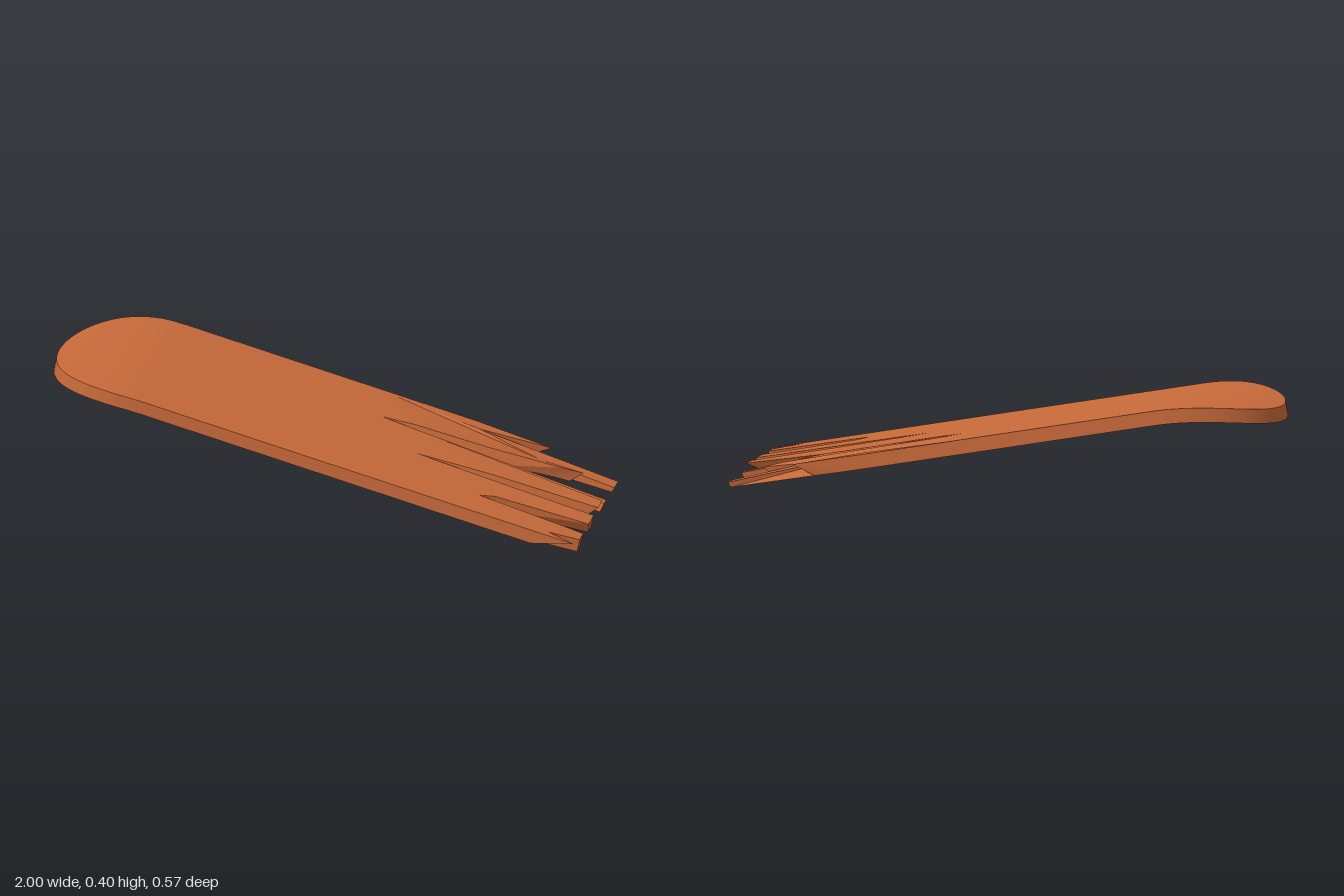
import * as THREE from 'three';
import { toCreasedNormals } from 'three/addons/utils/BufferGeometryUtils.js';

const HALF = 0.283;   // half width of the board
const THICK = 0.051;
const JOIN = 0.1;     // where the splintered end begins

// Height of the upper surface: arched nose, then a straight slope
const height = x => x < -0.6 ? 0.403 - 0.57 * (x + 0.78) ** 2 : 0.3845 - 0.205 * (x + 0.6);
const topPoint = (x, z, drop = 0) => [x, height(x) - drop, z];
const bottomPoint = (x, z) => [x - 0.01, height(x) - THICK, z];

// Broken edge: top x, top z, drop of the top, then bottom x, bottom z where they differ
const BREAK = [
  [JOIN, -HALF],
  [0.46, -HALF, 0, 0.42, -HALF],
  [0.75, -0.268, 0, 0.56, -0.28],
  [0.49, -0.238, 0, 0.68, -0.266],
  [1, -0.247, 0.033, 1, -0.242],
  [1, -0.2, 0.033, 1, -0.198],
  [0.72, -0.193, 0.012, 0.72, -0.188],
  [0.89, -0.186, 0.005, 0.85, -0.18],
  [0.82, -0.168, 0, 0.78, -0.172],
  [0.55, -0.143, 0, 0.6, -0.135],
  [0.28, -0.134, 0, 0.32, -0.126],
  [0.17, -0.116, 0, 0.21, -0.108],
  [0.28, -0.107, 0, 0.3, -0.1],
  [1, -0.097, 0.025, 1, -0.094],
  [1, -0.07, 0.025, 1, -0.052],
  [0.7, -0.078, 0.005, 0.93, -0.046],
  [1, -0.047, 0, 0.92, -0.03],
  [1, 0.006, 0, 0.96, 0.008],
  [0.62, 0.016, 0, 0.64, 0.024],
  [0.34, 0.04, 0, 0.4, 0.044],
  [0.6, 0.05, 0, 0.6, 0.062],
  [1, 0.062, 0, 1, 0.064],
  [1, 0.126, 0, 1, 0.098],
  [0.66, 0.146, 0, 0.68, 0.14],
  [0.61, 0.17, 0, 0.63, 0.17],
  [0.94, 0.19, 0, 0.92, 0.196],
  [1, 0.196, 0, 1, 0.205],
  [1, 0.241, 0, 1, 0.24],
  [0.89, 0.257, 0, 0.87, 0.257],
  [0.99, 0.28, 0, 0.84, HALF],
  [JOIN, HALF],
];

function buildBoard() {
  const pos = [];
  const tri = (a, b, c) => pos.push(...a, ...b, ...c);
  // Triangle turned to face up (sign 1) or down (sign -1)
  const facing = (a, b, c, sign) => {
    const ny = (b[2] - a[2]) * (c[0] - a[0]) - (b[0] - a[0]) * (c[2] - a[2]);
    if (ny * sign > 0) tri(a, b, c); else if (ny !== 0) tri(a, c, b);
  };

  // Stations of the intact board, from the join to the rounded nose
  const stations = [[JOIN, HALF], [-0.25, HALF], [-0.6, HALF]];
  for (let k = 0; k <= 14; k++) {
    const t = k / 14 * Math.PI / 2;
    stations.push([-0.65 - 0.34 * Math.sin(t), k === 14 ? 0 : HALF * Math.cos(t)]);
  }
  for (const [point, sign] of [[topPoint, 1], [bottomPoint, -1]]) {
    for (let i = 0; i < stations.length - 1; i++) {
      const [x0, w0] = stations[i], [x1, w1] = stations[i + 1];
      const a = point(x0, -w0), b = point(x0, w0), c = point(x1, w1), d = point(x1, -w1);
      facing(a, b, c, sign);
      facing(a, c, d, sign);
    }
  }

  // Upper and lower faces of the splintered end
  const upper = BREAK.map(([x, z, drop]) => topPoint(x, z, drop));
  const lower = BREAK.map(([x, z, , xb = x, zb = z]) => bottomPoint(xb, zb));
  for (const [ring, sign] of [[upper, 1], [lower, -1]]) {
    const flat = ring.map(p => new THREE.Vector2(p[0], p[2]));
    for (const [a, b, c] of THREE.ShapeUtils.triangulateShape(flat, []))
      facing(ring[a], ring[b], ring[c], sign);
  }

  // Side wall around the whole perimeter
  const nose = [...stations.slice(1), ...stations.slice(0, -1).reverse().map(([x, w]) => [x, -w])];
  const topRing = [...upper, ...nose.map(p => topPoint(...p))];
  const lowRing = [...lower, ...nose.map(p => bottomPoint(...p))];
  for (let i = 0; i < topRing.length - 1; i++) {
    tri(topRing[i], topRing[i + 1], lowRing[i + 1]);
    tri(topRing[i], lowRing[i + 1], lowRing[i]);
  }

  const geometry = new THREE.BufferGeometry();
  geometry.setAttribute('position', new THREE.Float32BufferAttribute(pos, 3));
  return toCreasedNormals(geometry, 0.35);
}

export function createModel() {
  const group = new THREE.Group();
  group.name = 'brokenBoard';
  const material = new THREE.MeshStandardMaterial({ color: 0xc86a3a });
  const board = new THREE.Mesh(buildBoard(), material);
  board.name = 'splinteredBoard';
  group.add(board);
  return group;
}
